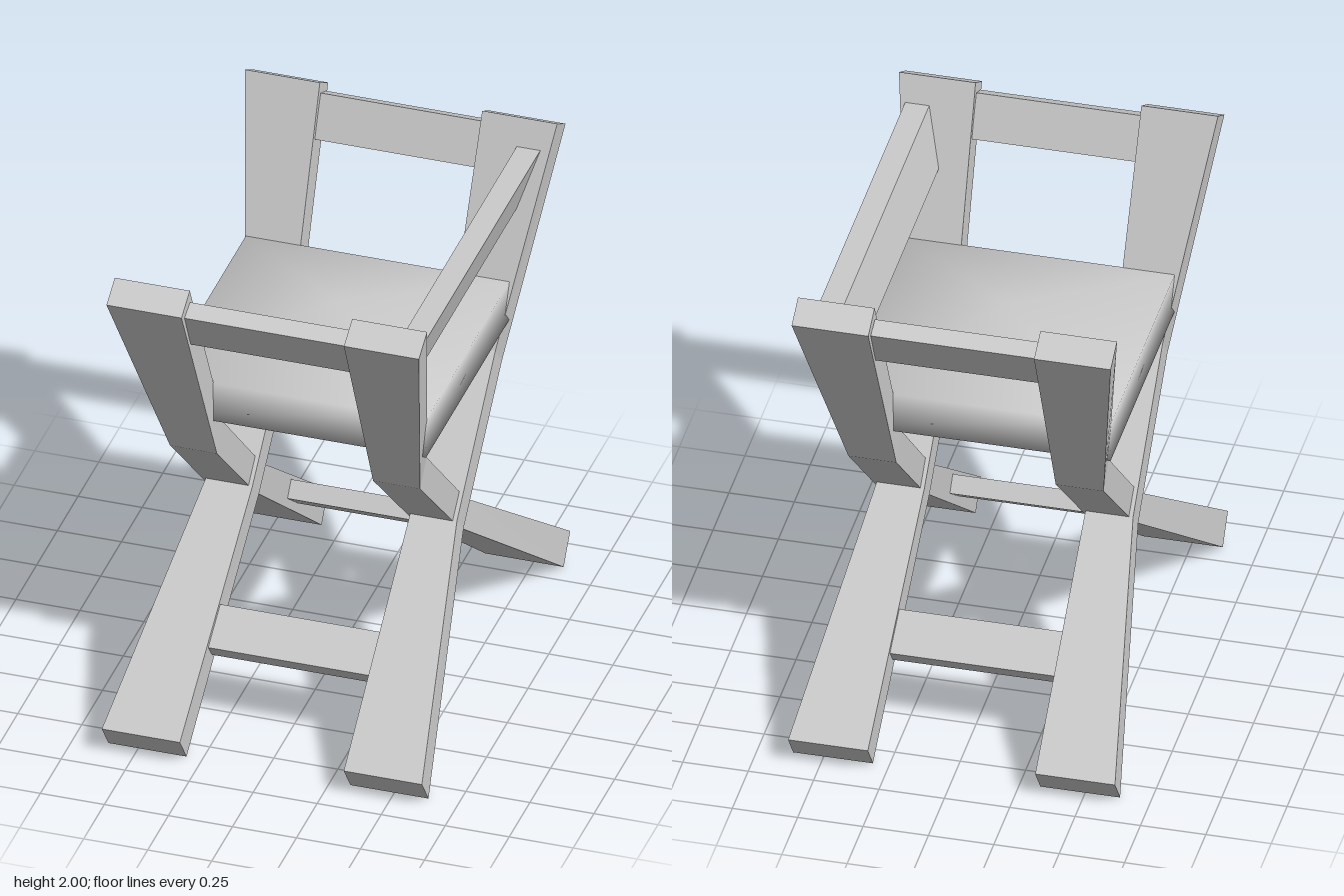
import * as THREE from 'three';
import { mergeVertices } from 'three/addons/utils/BufferGeometryUtils.js';

const material = new THREE.MeshStandardMaterial({ color: 0xcccccc });

// Skin four-cornered sections, counter-clockwise as seen from the last one.
function loft(sections, smooth = false) {
  const pos = [];
  const tri = (a, b, c) => {
    const [A, B, C] = [a, b, c].map((p) => new THREE.Vector3(...p));
    if (B.sub(A).cross(C.sub(A)).lengthSq() > 1e-12) pos.push(...a, ...b, ...c);
  };
  const quad = (a, b, c, d) => { tri(a, b, c); tri(a, c, d); };
  for (let i = 0; i + 1 < sections.length; i++) {
    const s = sections[i], t = sections[i + 1];
    for (let k = 0; k < 4; k++) {
      const n = (k + 1) % 4;
      quad(s[k], s[n], t[n], t[k]);
    }
  }
  quad(...[...sections[0]].reverse());
  quad(...sections[sections.length - 1]);
  let geo = new THREE.BufferGeometry();
  geo.setAttribute('position', new THREE.Float32BufferAttribute(pos, 3));
  if (smooth) geo = mergeVertices(geo);
  geo.computeVertexNormals();
  return geo;
}

function add(parent, name, geo) {
  const mesh = new THREE.Mesh(geo, material);
  mesh.name = name;
  parent.add(mesh);
  return mesh;
}

// Horizontal rectangle at height y, for lofting upwards
const level = (y, x0, x1, z) => [[x1, y, z], [x1, y, -z], [x0, y, -z], [x0, y, z]];

// Leg bends: inner x, outer x, upper edge [z, y], lower edge [z, y]
const LEG = [
  [0.32, 0.625, [0.92, 0.11], [0.84, 0]],
  [0.308, 0.49, [0.08, 0.735], [0, 0.655]],
  [0.305, 0.488, [-0.39, 1.2], [-0.47, 1.11]],
  [0.317, 0.61, [-0.76, 2], [-0.86, 1.94]],
];

// Crossbar between the two legs, tilted along the direction (dz, dy)
function rail(parent, name, y, z, dz, dy) {
  const mesh = add(parent, name, new THREE.BoxGeometry(0.63, 0.176, 0.073));
  mesh.position.set(0, y, z);
  mesh.rotation.x = Math.atan2(dz, dy);
}

// One frame: a pair of bent legs and two rails
function frame(name) {
  const g = new THREE.Group();
  g.name = name;
  for (const side of [1, -1]) {
    const sections = LEG.map(([inner, outer, up, low]) => {
      const x0 = side > 0 ? inner : -outer;
      const x1 = side > 0 ? outer : -inner;
      return [[x1, low[1], low[0]], [x0, low[1], low[0]], [x0, up[1], up[0]], [x1, up[1], up[0]]];
    });
    add(g, side > 0 ? 'leftLeg' : 'rightLeg', loft(sections));
  }
  rail(g, 'lowerRail', 0.355, 0.5, -0.84, 0.64);
  rail(g, 'upperRail', 1.857, -0.76, -0.38, 0.82);
  g.position.x = 0.008;
  return g;
}

export function createModel() {
  const model = new THREE.Group();
  model.name = 'foldingChair';

  // Two identical frames, crossing each other
  const pivot = new THREE.Group();
  pivot.name = 'turnedFrame';
  pivot.rotation.y = Math.PI;
  pivot.add(frame('frameB'));
  model.add(frame('frameA'), pivot);

  // Cushion rising to a point in the middle
  add(model, 'seat', loft([
    level(1.275, -0.515, 0.515, 0.505),
    level(1.44, -0.515, 0.515, 0.505),
    level(1.565, 0, 0, 0),
  ], true));

  // Leaning board on one side, its ends following the legs
  add(model, 'backrest', loft([
    level(1.69, 0.415, 0.505, 0.62),
    level(1.9, 0.475, 0.567, 0.715),
  ]));

  return model;
}
